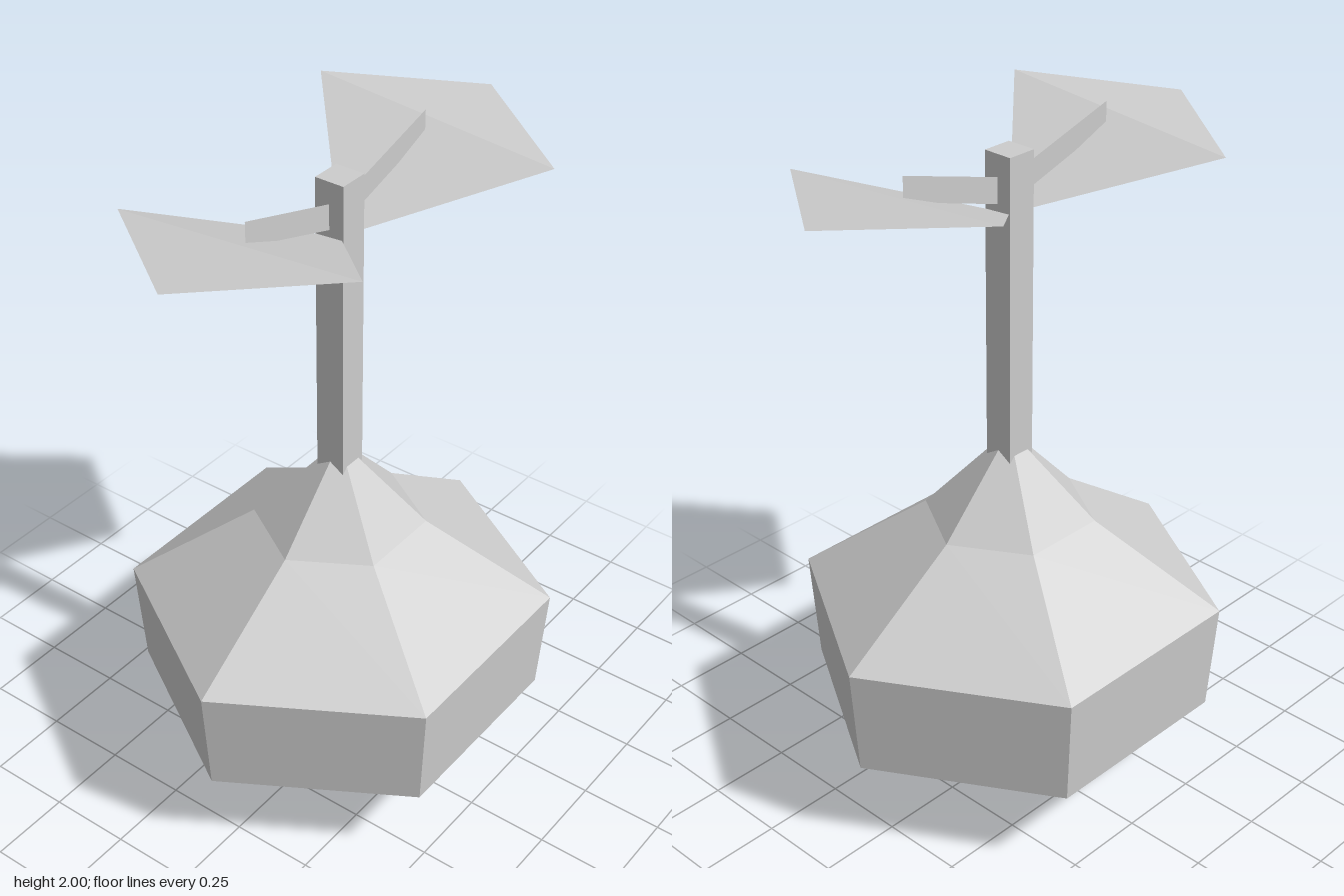
import * as THREE from 'three';

export function createModel() {
  const model = new THREE.Group();
  const grey = new THREE.MeshStandardMaterial({ color: 0xcccccc, flatShading: true, side: THREE.DoubleSide });
  grey.name = 'light grey';

  const add = (parent, name, geometry) => {
    const mesh = new THREE.Mesh(geometry, grey);
    mesh.name = name;
    parent.add(mesh);
    return mesh;
  };

  // thin four-cornered sheet
  const sheet = (a, b, c, d) => {
    const g = new THREE.BufferGeometry();
    g.setAttribute('position', new THREE.Float32BufferAttribute([a, b, c, a, c, d].flat(), 3));
    g.computeVertexNormals();
    return g;
  };

  // six-sided bulb, pointed below, tapering up into the stem
  const profile = [[0, 0], [0.61, 0.285], [0.635, 0.615], [0.255, 0.87], [0, 1.135]]
    .map(([r, y]) => new THREE.Vector2(r, y));
  const bulb = new THREE.LatheGeometry(profile, 6, Math.PI / 2).toNonIndexed();
  bulb.scale(1, 1, 0.97);
  bulb.computeVertexNormals();
  add(model, 'bulb', bulb);

  // square stem
  const stem = new THREE.BoxGeometry(0.09, 0.915, 0.09);
  stem.translate(0, 1.5075, 0);
  add(model, 'stem', stem);

  // two leaves, each the other turned half round the stem
  for (const [name, turn] of [['leftLeaf', 0], ['rightLeaf', Math.PI]]) {
    const leaf = new THREE.Group();
    leaf.name = name;
    leaf.rotation.y = turn;

    // tilted blade folded across its widest line
    const low = [0.42, 1.927, 0.382], high = [0.42, 1.99, -0.382];
    add(leaf, 'blade', sheet(low, [0.7, 1.952, 0], high, [0, 1.787, 0]));

    // upright rib along the middle
    add(leaf, 'rib', sheet([0.04, 1.825, 0], [0.38, 1.93, 0], [0.38, 2, 0], [0.04, 1.9, 0]));
    model.add(leaf);
  }
  return model;
}
